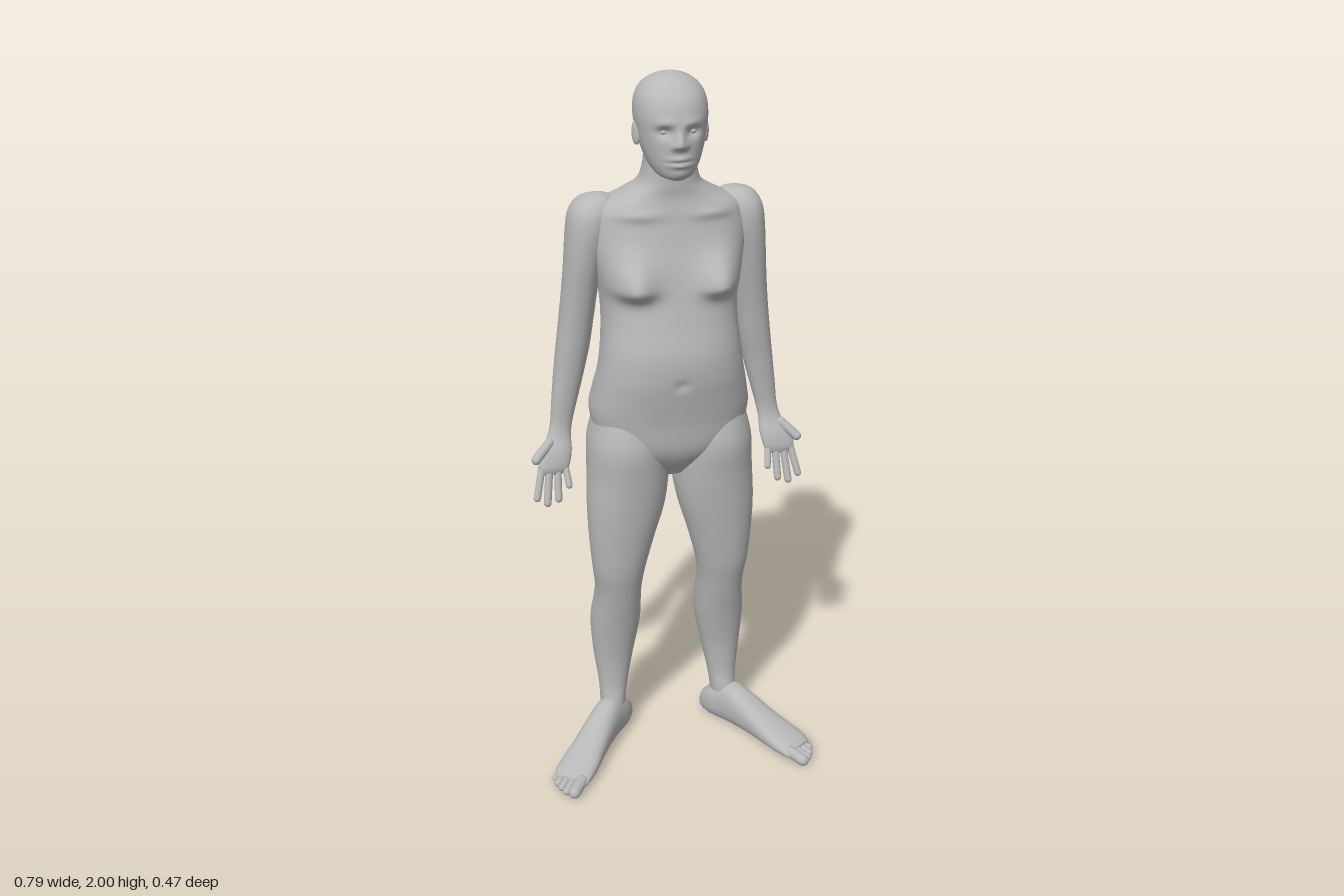
import * as THREE from 'three';

const skin = new THREE.MeshStandardMaterial({ color: 0xb8b8b8 });
skin.name = 'plain grey';

const bell = (v, centre, width) => Math.exp(-(((v - centre) / width) ** 2));
const spow = (v, e) => Math.sign(v) * Math.abs(v) ** e;
const cubic = (a, b, c, d, t) =>
  b + 0.5 * t * (c - a + t * (2 * a - 5 * b + 4 * c - d + t * (3 * (b - c) + d - a)));

// Smooth skin over rows of [y, centre x, half width, front z, back z], lowest row first.
// "sculpt" returns an extra z offset for a point.
function loft(rows, { side = 1, seg = 40, sub = 6, square = 0.92, sculpt = () => 0 } = {}) {
  const pos = [], index = [];
  const last = rows.length - 1;
  const rings = last * sub + 1;
  const row = (i) => rows[Math.min(last, Math.max(0, i))];
  for (let r = 0; r < rings; r++) {
    const i = Math.min(last - 1, Math.floor(r / sub)), t = r / sub - i;
    const [y, cx, w, zf, zb] = row(i).map((_, k) =>
      cubic(row(i - 1)[k], row(i)[k], row(i + 1)[k], row(i + 2)[k], t));
    for (let s = 0; s < seg; s++) {
      const a = (s / seg) * Math.PI * 2;
      const x = cx * side + w * spow(Math.cos(a), square);
      const z = (zf + zb) / 2 + ((zf - zb) / 2) * spow(Math.sin(a), square);
      pos.push(x, y, z + sculpt(x, y, z, Math.sin(a)));
    }
  }
  for (let r = 0; r < rings - 1; r++) {
    for (let s = 0; s < seg; s++) {
      const a = r * seg + s, b = r * seg + ((s + 1) % seg);
      index.push(a, a + seg, b, b, a + seg, b + seg);
    }
  }
  // End caps
  const end = (y, cx, zf, zb) => pos.push(cx * side, y, (zf + zb) / 2) / 3 - 1;
  const bottom = end(rows[0][0], rows[0][1], rows[0][3], rows[0][4]);
  const top = end(rows[last][0], rows[last][1], rows[last][3], rows[last][4]);
  for (let s = 0; s < seg; s++) {
    const n = (s + 1) % seg, up = (rings - 1) * seg;
    index.push(bottom, s, n, top, up + n, up + s);
  }
  const g = new THREE.BufferGeometry();
  g.setAttribute('position', new THREE.Float32BufferAttribute(pos, 3));
  g.setIndex(index);
  g.computeVertexNormals();
  return g;
}

function add(parent, name, geometry) {
  const mesh = new THREE.Mesh(geometry, skin);
  mesh.name = name;
  parent.add(mesh);
  return mesh;
}

// Rounded digit from point a to point b
function digit(parent, name, a, b, r) {
  const p = new THREE.Vector3(...a), q = new THREE.Vector3(...b);
  const d = q.clone().sub(p);
  const mesh = add(parent, name, new THREE.CapsuleGeometry(r, Math.max(0.001, d.length() - r), 6, 14));
  mesh.position.copy(p).add(q).multiplyScalar(0.5);
  mesh.quaternion.setFromUnitVectors(new THREE.Vector3(0, 1, 0), d.normalize());
  return mesh;
}

function ellipsoid(parent, name, position, radii) {
  const mesh = add(parent, name, new THREE.SphereGeometry(1, 24, 16));
  mesh.position.set(...position);
  mesh.scale.set(...radii);
  return mesh;
}

const torsoRows = [
  [0.9, 0, 0.04, 0.0, -0.1], [0.95, 0, 0.12, 0.04, -0.165], [1.0, 0, 0.195, 0.064, -0.205],
  [1.08, 0, 0.222, 0.075, -0.235], [1.15, 0, 0.213, 0.088, -0.217], [1.21, 0, 0.2, 0.098, -0.2],
  [1.28, 0, 0.19, 0.098, -0.207], [1.36, 0, 0.184, 0.08, -0.226], [1.43, 0, 0.188, 0.064, -0.232],
  [1.5, 0, 0.2, 0.05, -0.234], [1.56, 0, 0.212, 0.035, -0.234], [1.62, 0, 0.21, 0.022, -0.222],
  [1.66, 0, 0.185, 0.016, -0.198], [1.69, 0, 0.13, 0.012, -0.173], [1.72, 0, 0.085, 0.014, -0.148],
  [1.76, 0, 0.07, 0.015, -0.135], [1.8, 0, 0.066, 0.015, -0.13],
];

// Breasts and breastbone in front, spine and buttock clefts behind
function sculptTorso(x, y, z, face) {
  const ax = Math.abs(x);
  if (face > 0) {
    const breast = 0.056 * bell(ax, 0.12, 0.055) * bell(y, 1.462, y > 1.462 ? 0.075 : 0.03);
    const collar = 0.008 * bell(y, 1.645, 0.015) * bell(ax, 0.1, 0.06);
    const navel = -0.008 * bell(x, 0, 0.014) * bell(y, 1.2, 0.014);
    return (breast + collar + navel) * Math.min(1, face * 3);
  }
  const cleft = 0.05 * bell(x, 0, 0.022) * bell(y, 1.03, 0.1);
  const spine = 0.018 * bell(x, 0, 0.03) * bell(y, 1.4, 0.18);
  return cleft + spine;
}

const headRows = [
  [1.742, 0, 0.018, 0.045, 0.0], [1.752, 0, 0.045, 0.056, -0.05], [1.78, 0, 0.066, 0.064, -0.1],
  [1.82, 0, 0.081, 0.066, -0.135], [1.86, 0, 0.09, 0.066, -0.157], [1.9, 0, 0.095, 0.064, -0.166],
  [1.94, 0, 0.09, 0.05, -0.16], [1.97, 0, 0.072, 0.024, -0.136], [1.99, 0, 0.043, -0.005, -0.098],
  [2.0, 0, 0.006, -0.042, -0.056],
];

// Nose, brow, eye sockets, lips and chin
function sculptHead(x, y, z, face) {
  if (face < 0) return 0;
  const ax = Math.abs(x);
  return 0.021 * bell(x, 0, 0.013) * bell(y, 1.836, y > 1.836 ? 0.03 : 0.012)
    + 0.006 * bell(ax, 0.016, 0.008) * bell(y, 1.833, 0.01)
    + 0.005 * bell(ax, 0.035, 0.025) * bell(y, 1.888, 0.012)
    - 0.014 * bell(ax, 0.036, 0.018) * bell(y, 1.866, 0.014)
    + 0.008 * bell(x, 0, 0.024) * (bell(y, 1.8, 0.007) + bell(y, 1.784, 0.007))
    - 0.004 * bell(x, 0, 0.03) * bell(y, 1.792, 0.004)
    + 0.004 * bell(x, 0, 0.02) * bell(y, 1.76, 0.012);
}

// Hand, forearm, upper arm and shoulder
const armRows = [
  [0.898, 0.331, 0.034, -0.072, -0.09], [0.92, 0.327, 0.045, -0.068, -0.1], [0.96, 0.317, 0.044, -0.076, -0.117],
  [1.0, 0.305, 0.033, -0.092, -0.132], [1.04, 0.296, 0.031, -0.098, -0.146], [1.1, 0.285, 0.036, -0.095, -0.158],
  [1.18, 0.27, 0.042, -0.088, -0.175], [1.26, 0.256, 0.046, -0.078, -0.185], [1.34, 0.245, 0.047, -0.068, -0.187],
  [1.42, 0.235, 0.048, -0.055, -0.185], [1.5, 0.225, 0.051, -0.04, -0.185], [1.58, 0.212, 0.058, -0.03, -0.188],
  [1.63, 0.203, 0.06, -0.032, -0.182], [1.66, 0.195, 0.053, -0.045, -0.165], [1.678, 0.188, 0.038, -0.065, -0.14],
  [1.686, 0.18, 0.008, -0.09, -0.11],
];

const legRows = [
  [0.03, 0.172, 0.03, -0.06, -0.14], [0.07, 0.172, 0.036, -0.05, -0.148], [0.12, 0.172, 0.038, -0.045, -0.144],
  [0.18, 0.169, 0.044, -0.054, -0.147], [0.28, 0.165, 0.06, -0.05, -0.171], [0.39, 0.158, 0.073, -0.03, -0.184],
  [0.47, 0.154, 0.069, -0.01, -0.165], [0.53, 0.153, 0.068, 0.004, -0.142], [0.6, 0.152, 0.077, 0.02, -0.13],
  [0.7, 0.143, 0.094, 0.033, -0.139], [0.8, 0.13, 0.11, 0.045, -0.153], [0.9, 0.121, 0.115, 0.056, -0.188],
  [1.0, 0.12, 0.111, 0.064, -0.213], [1.1, 0.112, 0.092, 0.04, -0.19],
];

// Heel to ball: [length, centre x, half width, sole, minus height]
const footRows = [
  [-0.052, 0, 0.01, -0.02, -0.05], [-0.042, 0, 0.028, -0.008, -0.075], [0, 0, 0.04, 0, -0.11],
  [0.06, 0.002, 0.042, 0, -0.135], [0.12, 0.004, 0.046, 0, -0.117], [0.19, 0.004, 0.051, 0, -0.085],
  [0.25, 0.003, 0.057, 0, -0.061], [0.3, 0.002, 0.057, 0, -0.045], [0.328, -0.004, 0.048, -0.005, -0.032],
];

function addArm(parent, side) {
  const arm = new THREE.Group();
  arm.name = side > 0 ? 'leftArm' : 'rightArm';
  parent.add(arm);
  add(arm, 'armAndPalm', loft(armRows, { side }));
  // [base x, tip x, tip y, radius], little finger first
  [[0.295, 0.288, 0.862, 0.0095], [0.316, 0.32, 0.822, 0.0105], [0.339, 0.352, 0.812, 0.011], [0.36, 0.381, 0.83, 0.0105]]
    .forEach(([bx, tx, ty, r]) =>
      digit(arm, 'finger', [bx * side, 0.918, -0.085], [tx * side, ty, -0.058], r));
  digit(arm, 'thumb', [0.33 * side, 0.99, -0.1], [0.381 * side, 0.942, -0.072], 0.0135);
}

function addLeg(parent, side) {
  const leg = new THREE.Group();
  leg.name = side > 0 ? 'leftLeg' : 'rightLeg';
  parent.add(leg);
  add(leg, 'legSkin', loft(legRows, { side }));
  const foot = new THREE.Group();
  foot.name = 'foot';
  foot.position.set(0.155 * side, 0.003, -0.1);
  foot.rotation.y = side * 0.63;
  leg.add(foot);
  add(foot, 'footSkin', loft(footRows, { side, square: 0.85 }).rotateX(Math.PI / 2));
  // [x, tip length, radius], big toe first
  [[-0.036, 0.383, 0.0175], [-0.009, 0.375, 0.0115], [0.013, 0.364, 0.011], [0.033, 0.349, 0.0105], [0.05, 0.33, 0.01]]
    .forEach(([x, tip, r]) =>
      digit(foot, 'toe', [x * 0.9 * side, 0.024, tip - 0.075], [x * side, r, tip - r / 2], r));
}

export function createModel() {
  const body = new THREE.Group();
  body.name = 'humanFigure';

  add(body, 'torsoAndNeck', loft(torsoRows, { seg: 112, sub: 8, square: 0.85, sculpt: sculptTorso }));

  const head = new THREE.Group();
  head.name = 'head';
  body.add(head);
  add(head, 'skullAndFace', loft(headRows, { seg: 120, sub: 10, square: 0.95, sculpt: sculptHead }));

  for (const side of [1, -1]) {
    ellipsoid(head, 'eye', [0.035 * side, 1.866, 0.037], [0.014, 0.009, 0.012]);
    const ear = ellipsoid(head, 'ear', [0.09 * side, 1.85, -0.042], [0.009, 0.031, 0.018]);
    ear.rotation.set(-0.15, -0.35 * side, 0);
    addArm(body, side);
    addLeg(body, side);
  }
  return body;
}
